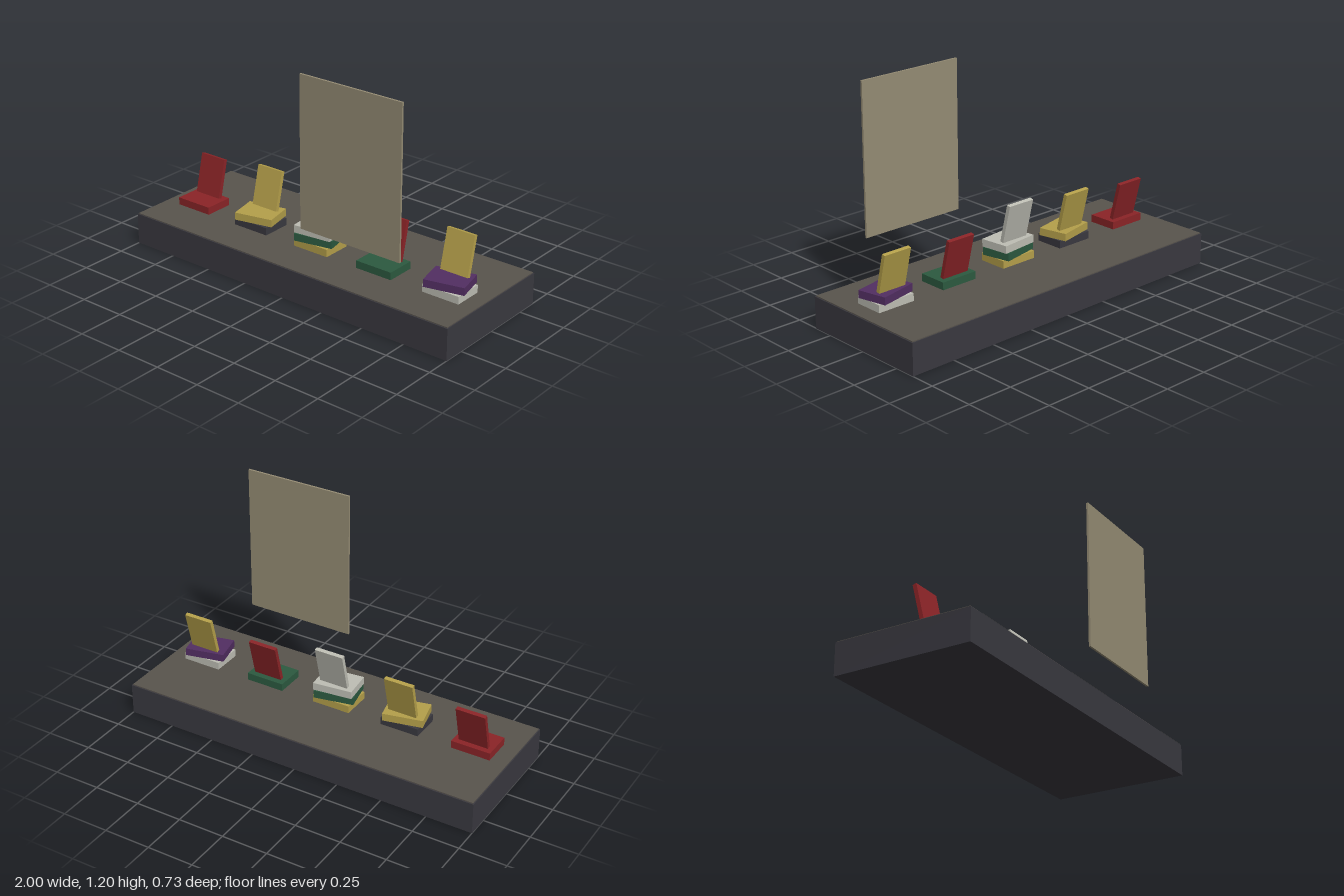
import * as THREE from 'three';

const mat = (name, color) => {
  const m = new THREE.MeshStandardMaterial({ color });
  m.name = name;
  return m;
};

export function createModel() {
  const red = mat('red', 0x8b2427);
  const gold = mat('gold', 0xb5a04a);
  const ivory = mat('ivory', 0xbebeb4);
  const green = mat('green', 0x2c5a40);
  const purple = mat('purple', 0x522e62);
  const charcoal = mat('charcoal', 0x3a3940);
  const taupe = mat('taupe', 0x958c74);
  const cloth = mat('cloth', 0x59544d);

  const model = new THREE.Group();
  model.name = 'displayTable';

  function box(parent, name, size, pos, material) {
    const mesh = new THREE.Mesh(new THREE.BoxGeometry(...size), material);
    mesh.name = name;
    mesh.position.set(...pos);
    parent.add(mesh);
    return mesh;
  }

  // Plinth with a slightly inset top cover
  const top = 0.173;
  box(model, 'plinth', [2, 0.168, 0.734], [0, 0.084, 0], charcoal);
  box(model, 'topCover', [1.99, 0.005, 0.724], [0, 0.1705, 0], cloth);

  // Hanging sign panel
  box(model, 'signPanel', [0.6, 0.8, 0.011], [0.4, 0.8, 0.335], taupe);

  // Stacks of books: [material, turn] from the bottom up, plus a leaning book on top
  const bookH = 0.0405;
  const stacks = [
    { x: -0.8, books: [[red, 0]], leaning: red },
    { x: -0.4, books: [[charcoal, 0], [gold, 0.22]], leaning: gold },
    { x: 0, books: [[gold, 0], [green, 0.2], [ivory, 0.11]], leaning: ivory },
    { x: 0.4, books: [[green, 0]], leaning: red },
    { x: 0.8, books: [[ivory, 0], [purple, 0.22]], leaning: gold },
  ];
  stacks.forEach(({ x, books, leaning }) => {
    const stack = new THREE.Group();
    stack.name = 'bookStack';
    stack.position.set(x, top, 0);
    books.forEach(([material, turn], i) => {
      const book = box(stack, 'flatBook', [0.213, bookH, 0.16], [0, (i + 0.5) * bookH, 0.067], material);
      book.rotation.y = turn;
    });
    const upright = box(stack, 'leaningBook', [0.16, 0.213, 0.021],
      [0, books.length * bookH + 0.107, 0.002], leaning);
    upright.rotation.x = -0.24;
    model.add(stack);
  });

  return model;
}
